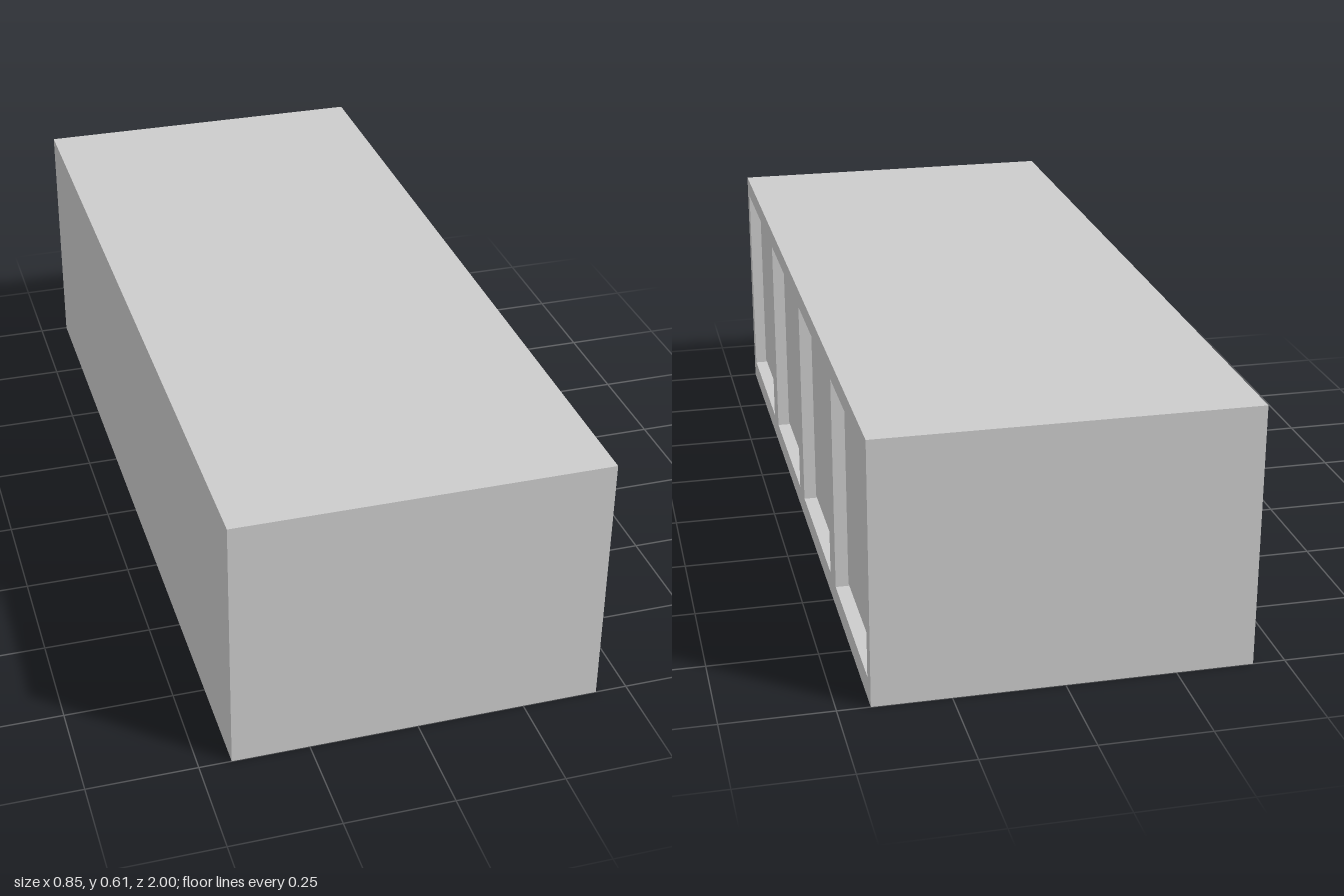
import * as THREE from 'three';

const W = 0.853, H = 0.613, L = 2;
const mat = new THREE.MeshStandardMaterial({ color: 0xcccccc, flatShading: true, side: THREE.DoubleSide });

// Rectangle corners, counter-clockwise, from centre and size
const rect = (cx, cy, w, h) => [
  [cx - w / 2, cy - h / 2], [cx + w / 2, cy - h / 2],
  [cx + w / 2, cy + h / 2], [cx - w / 2, cy + h / 2],
];
const points = (r) => r.map(([x, y]) => new THREE.Vector2(x, y));

function addMesh(parent, geometry, name) {
  const mesh = new THREE.Mesh(geometry, mat);
  mesh.name = name;
  parent.add(mesh);
  return mesh;
}

// Flat sheet at depth z with rectangular holes
function sheet(outer, holes, z) {
  const shape = new THREE.Shape(points(outer));
  shape.holes = holes.map((h) => new THREE.Path(points(h)));
  return new THREE.ShapeGeometry(shape).translate(0, 0, z);
}

// Four-sided band joining rectangle a at depth za to rectangle b at depth zb
function band(a, za, b, zb) {
  const pos = [];
  for (let i = 0; i < 4; i++) {
    const j = (i + 1) % 4;
    const a0 = [...a[i], za], a1 = [...a[j], za], b0 = [...b[i], zb], b1 = [...b[j], zb];
    pos.push(...a0, ...a1, ...b1, ...a0, ...b1, ...b0);
  }
  const g = new THREE.BufferGeometry();
  g.setAttribute('position', new THREE.Float32BufferAttribute(pos, 3));
  g.computeVertexNormals();
  return g;
}

export function createModel() {
  const model = new THREE.Group();
  model.name = 'cabinet';

  // Thin shell, open underneath
  const top = addMesh(model, new THREE.PlaneGeometry(W, L), 'top');
  top.rotation.x = -Math.PI / 2;
  top.position.y = H;
  addMesh(model, new THREE.PlaneGeometry(W, H), 'frontEnd').position.set(0, H / 2, L / 2);
  const backEnd = addMesh(model, new THREE.PlaneGeometry(W, H), 'backEnd');
  backEnd.rotation.y = Math.PI;
  backEnd.position.set(0, H / 2, -L / 2);
  const plainSide = addMesh(model, new THREE.PlaneGeometry(L, H), 'plainSide');
  plainSide.rotation.y = -Math.PI / 2;
  plainSide.position.set(-W / 2, H / 2, 0);

  // Door side, drawn facing +z and turned to +x
  const doorSide = new THREE.Group();
  doorSide.name = 'doorSide';
  doorSide.rotation.y = Math.PI / 2;
  doorSide.position.x = W / 2;
  model.add(doorSide);

  const doorW = 0.424, doorH = 0.516, doorY = 0.31, inset = 0.013;
  const wellDepth = -0.07, panelDepth = -0.028, gripDepth = -0.056;
  const openings = [];
  for (let i = 0; i < 4; i++) {
    const cx = -0.75 + i * 0.5;
    const opening = rect(cx, doorY, doorW, doorH);
    const panel = rect(cx, doorY, doorW - 2 * inset, doorH - 2 * inset);
    const grip = rect(cx + 0.122, 0.307, 0.059, 0.15);
    openings.push(opening);

    const door = new THREE.Group();
    door.name = 'door';
    doorSide.add(door);
    addMesh(door, band(opening, 0, opening, wellDepth), 'doorRecess');
    addMesh(door, band(opening, wellDepth, panel, panelDepth), 'doorBevel');
    addMesh(door, sheet(panel, [grip], panelDepth), 'doorPanel');
    addMesh(door, band(grip, panelDepth, grip, gripDepth), 'gripRecess');
    addMesh(door, sheet(grip, [], gripDepth), 'gripBack');
  }
  addMesh(doorSide, sheet(rect(0, H / 2, L, H), openings, 0), 'doorFrame');
  return model;
}
